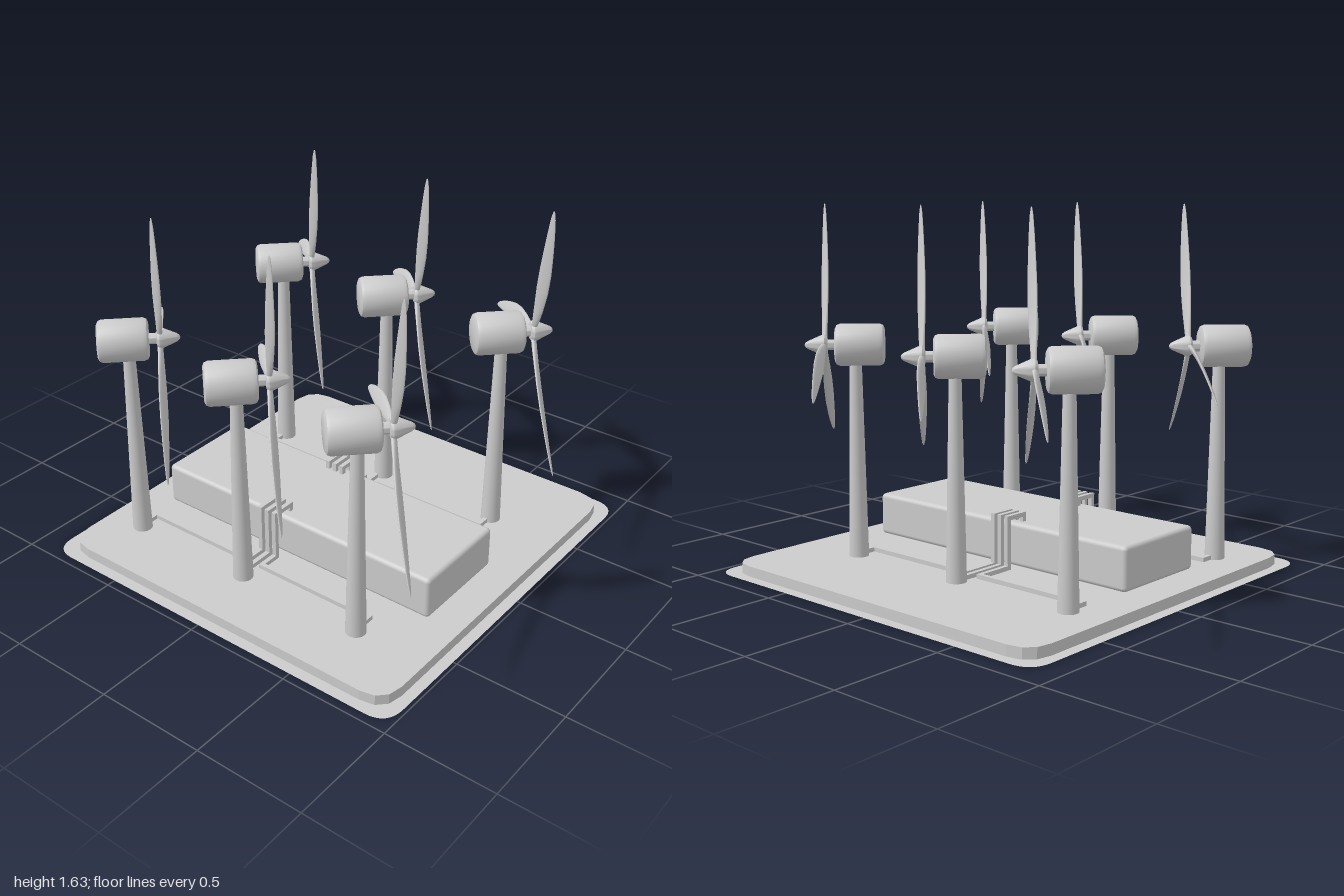
import * as THREE from 'three';
import { toCreasedNormals } from 'three/addons/utils/BufferGeometryUtils.js';
import { RoundedBoxGeometry } from 'three/addons/geometries/RoundedBoxGeometry.js';

const grey = new THREE.MeshStandardMaterial({ color: 0xcccccc });
const greyDouble = new THREE.MeshStandardMaterial({ color: 0xcccccc, side: THREE.DoubleSide });

function add(parent, name, geometry, material = grey) {
  const mesh = new THREE.Mesh(geometry, material);
  mesh.name = name;
  parent.add(mesh);
  return mesh;
}

// Rounded rectangle centred on the origin
function roundedRect(w, d, r) {
  const x = w / 2, y = d / 2, s = new THREE.Shape();
  s.moveTo(-x + r, -y);
  s.lineTo(x - r, -y).quadraticCurveTo(x, -y, x, -y + r);
  s.lineTo(x, y - r).quadraticCurveTo(x, y, x - r, y);
  s.lineTo(-x + r, y).quadraticCurveTo(-x, y, -x, y - r);
  s.lineTo(-x, -y + r).quadraticCurveTo(-x, -y, -x + r, -y);
  return s;
}

// Turned solid whose axis is z; profile is [radius, z] from back to front
function turned(profile, segments = 32) {
  const points = profile.map(([r, z]) => new THREE.Vector2(r, z));
  return toCreasedNormals(new THREE.LatheGeometry(points, segments).rotateX(Math.PI / 2), 0.6);
}

// Curved, twisted blade along +x, lofted from lens-shaped sections
function bladeGeometry() {
  // distance from hub, sideways offset, chord, thickness
  const sections = [
    [0.02, 0.004, 0.026, 0.024], [0.07, 0.013, 0.036, 0.022], [0.15, 0.021, 0.055, 0.018],
    [0.25, 0.026, 0.07, 0.015], [0.35, 0.026, 0.07, 0.013], [0.45, 0.021, 0.058, 0.011],
    [0.54, 0.014, 0.043, 0.009], [0.61, 0.006, 0.026, 0.007], [0.64, 0.001, 0.01, 0.004],
    [0.645, 0, 0.001, 0.001],
  ];
  const n = 12, pitch = 0.5, positions = [], index = [];
  sections.forEach(([r, offset, chord, thick], i) => {
    for (let j = 0; j < n; j++) {
      const a = (j / n) * Math.PI * 2;
      const c = (Math.cos(a) * chord) / 2, t = (Math.sin(a) * thick) / 2;
      positions.push(r,
        offset + c * Math.cos(pitch) - t * Math.sin(pitch),
        c * Math.sin(pitch) + t * Math.cos(pitch));
      if (i < sections.length - 1) {
        const p = i * n + j, q = i * n + ((j + 1) % n);
        index.push(p, q, p + n, q, q + n, p + n);
      }
    }
  });
  const g = new THREE.BufferGeometry();
  g.setAttribute('position', new THREE.Float32BufferAttribute(positions, 3));
  g.setIndex(index);
  g.computeVertexNormals();
  return g;
}

const towerGeo = new THREE.CylinderGeometry(0.027, 0.045, 0.89, 32).translate(0, 0.485, 0);
const nacelleGeo = turned([
  [0, -0.13], [0.074, -0.13], [0.088, -0.123], [0.094, -0.108],
  [0.094, 0.068], [0.088, 0.083], [0.074, 0.09], [0, 0.09],
]);
const hubGeo = turned([
  [0.024, 0.08], [0.024, 0.122], [0.038, 0.125], [0.046, 0.135],
  [0.044, 0.15], [0.018, 0.21], [0.01, 0.221], [0, 0.225],
]);
const bladeGeo = bladeGeometry();

function createTurbine() {
  const turbine = new THREE.Group();
  turbine.name = 'windTurbine';
  add(turbine, 'tower', towerGeo);
  // Head turned diagonally
  const head = new THREE.Group();
  head.name = 'turbineHead';
  head.position.y = 1.013;
  head.rotation.y = Math.PI / 4;
  turbine.add(head);
  add(head, 'nacelle', nacelleGeo);
  add(head, 'hub', hubGeo);
  for (let i = 0; i < 3; i++) {
    const blade = add(head, 'blade', bladeGeo);
    blade.position.z = 0.137;
    blade.rotation.z = THREE.MathUtils.degToRad(105.5 + 120 * i);
  }
  return turbine;
}

// Square pipe through axis-aligned points
function createPipe(points, size = 0.02) {
  const pipe = new THREE.Group();
  pipe.name = 'powerPipe';
  for (let i = 0; i < points.length - 1; i++) {
    const a = new THREE.Vector3(...points[i]), b = new THREE.Vector3(...points[i + 1]);
    const d = b.clone().sub(a);
    const dims = [d.x, d.y, d.z].map((v) => Math.abs(v) + size);
    add(pipe, 'pipeSection', new THREE.BoxGeometry(...dims)).position.copy(a.add(b).multiplyScalar(0.5));
  }
  return pipe;
}

export function createModel() {
  const model = new THREE.Group();
  model.name = 'windFarm';

  // Thin ground sheet and the slab on it
  const sheet = add(model, 'groundSheet',
    new THREE.ShapeGeometry(roundedRect(1.87, 1.87, 0.11), 8).rotateX(-Math.PI / 2), greyDouble);
  sheet.position.set(-0.025, 0, 0.047);
  const slab = add(model, 'baseSlab', new THREE.ExtrudeGeometry(roundedRect(1.77, 1.77, 0.12),
    { depth: 0.047, bevelEnabled: false, curveSegments: 3 }).rotateX(-Math.PI / 2));
  slab.position.set(-0.025, 0, 0.047);

  // Long storage block
  const block = add(model, 'storageBlock', new RoundedBoxGeometry(0.487, 0.197, 1.472, 3, 0.02));
  block.position.set(-0.151, 0.151, 0.047);

  // Two rows of turbines, each piped over the edge of the block
  const rows = [
    { tower: -0.63, run: -0.537, riser: -0.443, drop: -0.34 },
    { tower: 0.413, run: 0.32, riser: 0.143, drop: 0.043 },
  ];
  const towerZ = [-0.648, -0.032, 0.585], pipeZ = [-0.082, -0.042, -0.003];
  for (const { tower, run, riser, drop } of rows) {
    towerZ.forEach((z, i) => {
      const turbine = createTurbine();
      turbine.position.set(tower, 0, z);
      model.add(turbine);
      const start = i === 1 ? pipeZ[1] : z, y = 0.058, top = 0.281, end = pipeZ[i];
      const path = [[tower, y, start]];
      if (i !== 1) path.push([run, y, start], [run, y, end]);
      path.push([riser, y, end], [riser, top, end], [drop, top, end], [drop, 0.24, end]);
      model.add(createPipe(path));
    });
  }
  return model;
}
